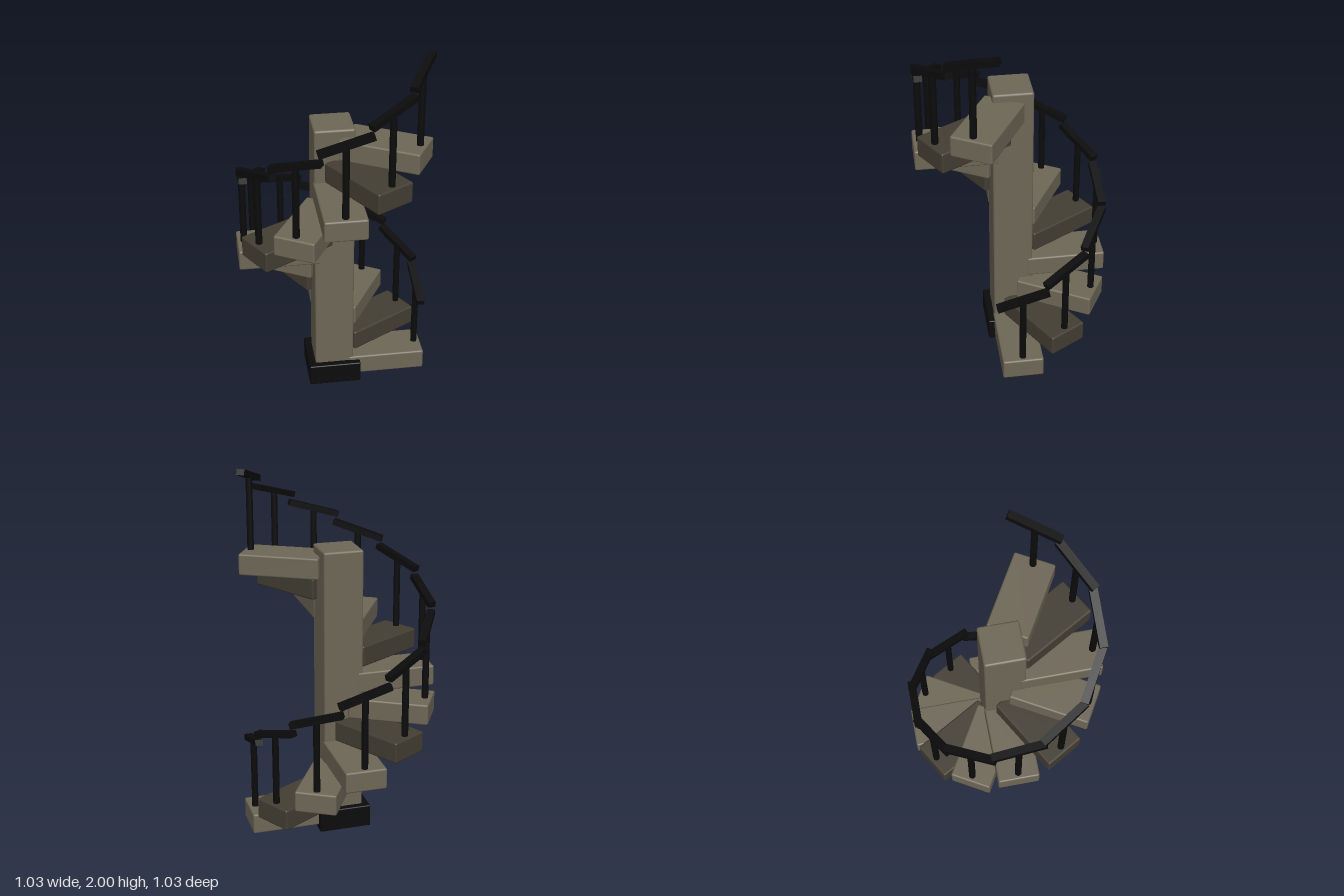
import * as THREE from 'three';
import { RoundedBoxGeometry } from 'three/addons/geometries/RoundedBoxGeometry.js';

const STEPS = 12, RISE = 0.127, RAIL_RADIUS = 0.479;

export function createModel() {
  const material = (name, color) => {
    const m = new THREE.MeshStandardMaterial({ color });
    m.name = name;
    return m;
  };
  const stone = material('stone', 0x6e6757);
  const darkStone = material('dark stone', 0x433e33);
  const iron = material('black iron', 0x0b0b0b);

  const model = new THREE.Group();
  model.name = 'spiralStaircase';
  const add = (parent, name, geometry, mat, x, y, z) => {
    const mesh = new THREE.Mesh(geometry, mat);
    mesh.name = name;
    mesh.position.set(x, y, z);
    parent.add(mesh);
    return mesh;
  };

  // Square central column on a black plinth
  add(model, 'base', new RoundedBoxGeometry(0.29, 0.125, 0.29, 1, 0.006), iron, 0, 0.0625, 0);
  add(model, 'column', new RoundedBoxGeometry(0.216, 1.575, 0.216, 2, 0.012), stone, 0, 0.7995, 0);

  const treadGeometry = new RoundedBoxGeometry(0.435, 0.116, 0.224, 2, 0.01);
  const postGeometry = new THREE.CylinderGeometry(0.018, 0.018, 0.4, 12);
  const railGeometry = new THREE.BoxGeometry(0.042, 0.032, 0.29);

  // Each step carries its own baluster and tilted handrail segment
  for (let i = 0; i < STEPS; i++) {
    const step = new THREE.Group();
    step.name = 'step' + (i + 1);
    step.position.y = 0.03 + i * RISE;
    step.rotation.y = (i * Math.PI * 2) / STEPS;
    add(step, 'tread', treadGeometry, i % 3 === 1 ? darkStone : stone, 0.2975, 0.058, 0);
    add(step, 'post', postGeometry, iron, RAIL_RADIUS, 0.312, 0);
    const rail = add(step, 'handrail', railGeometry, iron, RAIL_RADIUS, 0.515, 0);
    rail.rotation.x = 0.29;
    model.add(step);
  }
  return model;
}
